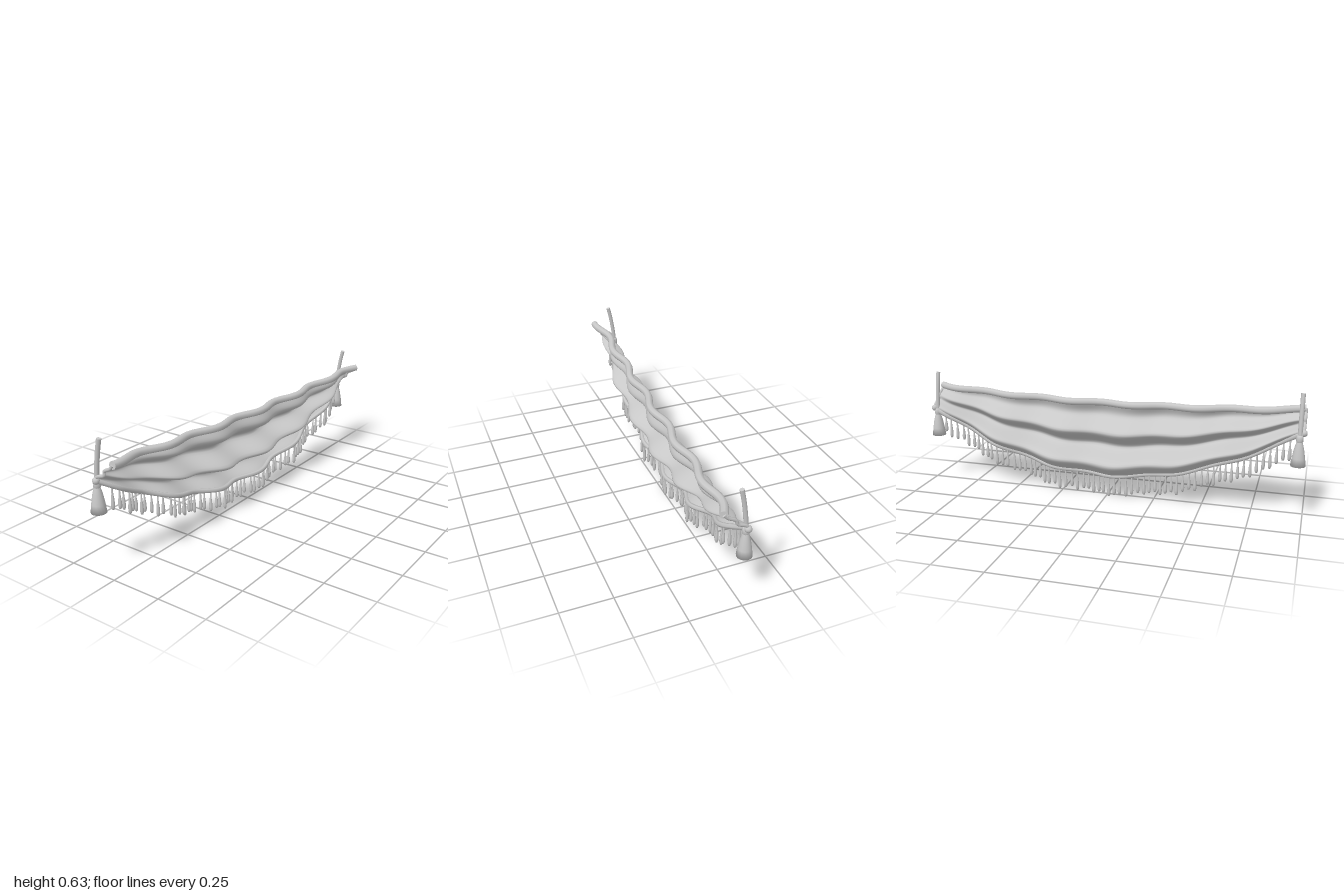
import * as THREE from 'three';

const END = 0.98;
const clothMat = new THREE.MeshStandardMaterial({ color: 0xc8c8c8, side: THREE.DoubleSide });
clothMat.name = 'pale grey fabric';

// Fold profile: x offset, share of the drop from top edge to hem
const profile = new THREE.CatmullRomCurve3([
  [0.03, 0], [0.047, 0.19], [-0.05, 0.38], [0.05, 0.63], [-0.09, 0.79], [-0.02, 1],
].map(([x, t]) => new THREE.Vector3(x, t, 0)), false, 'centripetal');

// Point of the draped cloth: v runs from top edge (0) to hem (1)
function drape(v, z) {
  const p = profile.getPoint(v);
  const t = p.y;
  const a = Math.abs(z);
  const top = 0.487 + 0.035 * z * z + 0.016 * z;
  const hem = 0.115 + 0.32 * z * z + 0.02 * z;
  // Pleats ripple slightly on the diagonal and flatten towards both ends
  const ripple = (0.016 + 0.003 * t) * Math.cos((2 * Math.PI * (z + 0.05 + 0.07 * t)) / 0.335);
  const x = THREE.MathUtils.lerp(p.x, 0.03 - 0.05 * t, 0.9 * a ** (z > 0 ? 4 : 2.5));
  const flare = THREE.MathUtils.lerp((0.025 - 0.005 * z) * a ** 8, (-0.02 - 0.015 * z) * a ** 4, t);
  return new THREE.Vector3(x - (0.045 - 0.015 * t) * z + ripple + flare, top + (hem - top) * t, z);
}

function mesh(name, geometry) {
  const m = new THREE.Mesh(geometry, clothMat);
  m.name = name;
  return m;
}

// Tube with flat end caps
function cord(name, points, radius, sides, segments) {
  const g = new THREE.Group();
  g.name = name;
  const curve = new THREE.CatmullRomCurve3(points);
  g.add(mesh(name + 'Tube', new THREE.TubeGeometry(curve, segments, radius, sides)));
  for (const t of [0, 1]) {
    const cap = mesh(name + 'Cap', new THREE.CircleGeometry(radius, sides));
    const at = curve.getPoint(t);
    cap.position.copy(at);
    cap.lookAt(at.clone().addScaledVector(curve.getTangent(t), t ? 1 : -1));
    g.add(cap);
  }
  return g;
}

function sweep(v, count) {
  return Array.from({ length: count + 1 }, (_, i) => drape(v, END - (2 * END * i) / count));
}

function lathe(points, sides) {
  return new THREE.LatheGeometry(points.map(([r, y]) => new THREE.Vector2(r, y)), sides);
}

export function createModel() {
  const model = new THREE.Group();
  model.name = 'drapedSwag';

  // Folded cloth
  const sheet = new THREE.PlaneGeometry(1, 1, 120, 40);
  const pos = sheet.attributes.position;
  for (let i = 0; i < pos.count; i++) {
    const p = drape(0.5 - pos.getY(i), -pos.getX(i) * 2 * END);
    pos.setXYZ(i, p.x, p.y, p.z);
  }
  sheet.computeVertexNormals();
  model.add(mesh('cloth', sheet));

  // Rope along the top, cord along the hem, bindings at both ends
  model.add(cord('topRope', sweep(0, 60), 0.019, 8, 120));
  model.add(cord('hemCord', sweep(1, 60), 0.012, 6, 120));
  for (const z of [END, -END]) {
    const edge = Array.from({ length: 17 }, (_, i) => drape(i / 16, z));
    model.add(cord('endBinding', edge, 0.008, 6, 32));
  }

  // Fringe of small drops, varying in length
  const drop = lathe([[0, -1], [0.005, -0.985], [0.0085, -0.9], [0.0092, -0.78],
    [0.0075, -0.55], [0.0045, -0.35], [0.0035, 0]], 7);
  const fringe = new THREE.Group();
  fringe.name = 'fringe';
  const count = 62;
  for (let i = 0; i < count; i++) {
    const z = 0.92 - (1.84 * i) / (count - 1);
    const d = mesh('fringeDrop', drop);
    d.position.copy(drape(1, z));
    d.position.x += 0.006 * Math.sin(i * 2.4);
    d.scale.y = 0.105 + 0.009 * Math.cos(i * Math.PI * 0.67);
    fringe.add(d);
  }
  model.add(fringe);

  // Corner tassels with hanging cords
  const skirt = lathe([[0, 0.285], [0.036, 0.285], [0.031, 0.325], [0.023, 0.37], [0.014, 0.402]], 14);
  const head = lathe([[0.012, 0.398], [0.017, 0.406], [0.017, 0.422], [0.013, 0.435], [0, 0.438]], 12);
  for (const [x, y, z] of [[-0.1, 0, 0.963], [-0.012, -0.033, -0.963]]) {
    const tassel = new THREE.Group();
    tassel.name = 'cornerTassel';
    tassel.add(mesh('tasselSkirt', skirt), mesh('tasselHead', head));
    tassel.add(cord('hangingCord', [[0, 0.43], [0.008, 0.5], [0.019, 0.57], [0.032, 0.63]]
      .map(([a, b]) => new THREE.Vector3(a, b, 0)), 0.011, 8, 12));
    tassel.position.set(x, y, z);
    model.add(tassel);

    // Knot joining tassel to hem corner
    const corner = drape(1, Math.sign(z) * END);
    const knot = mesh('cornerKnot', new THREE.SphereGeometry(0.017, 10, 8));
    knot.position.copy(corner);
    model.add(knot, cord('knotLoop', [new THREE.Vector3(x, y + 0.435, z), corner], 0.01, 6, 4));
  }
  return model;
}
